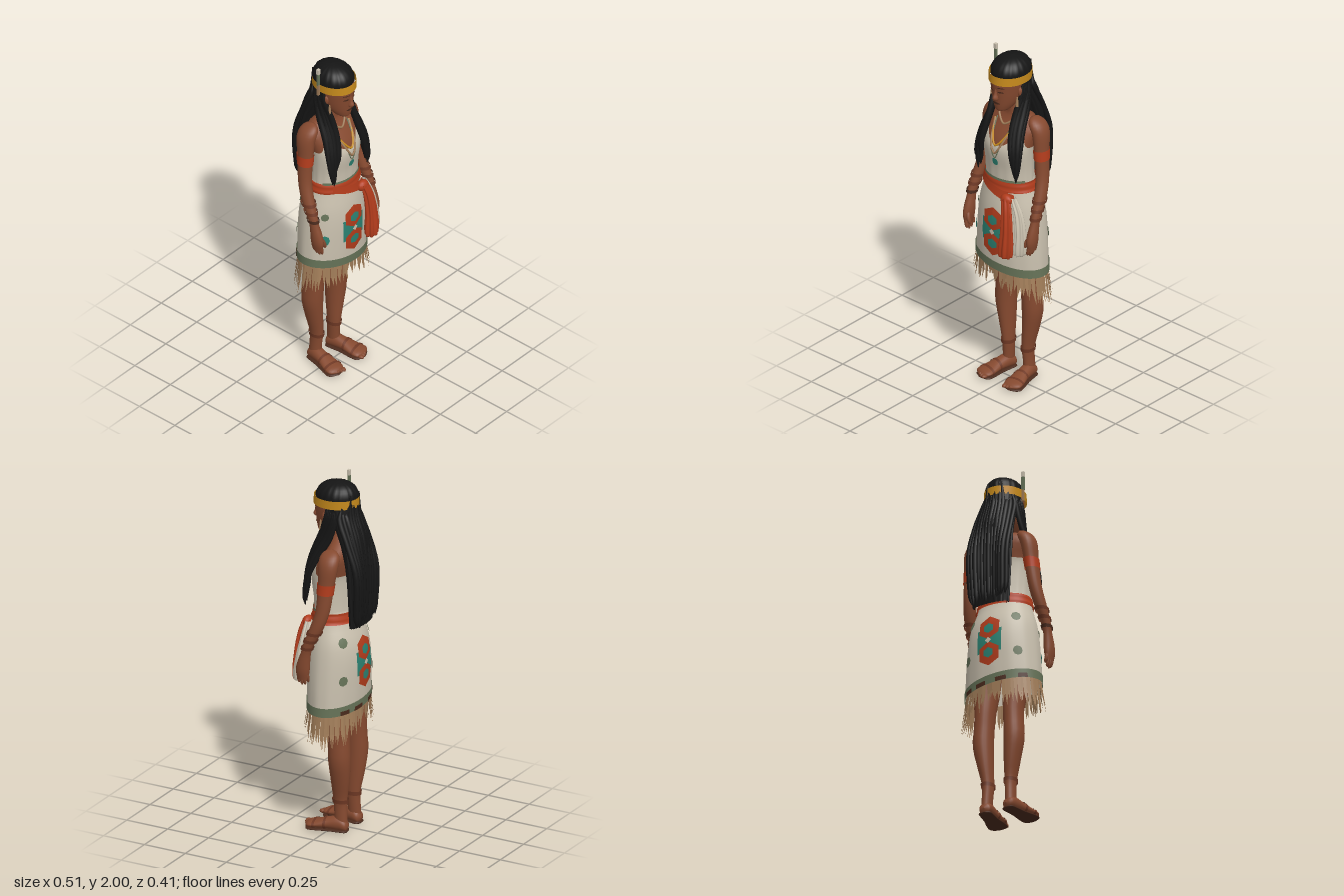
import * as THREE from 'three';

const mat = (name, color, side = THREE.FrontSide) => {
  const m = new THREE.MeshStandardMaterial({ color, side });
  m.name = name;
  return m;
};

// Cross-sections are [height, centreX, centreZ, radiusX, radiusZ], rising; sampled by a smooth curve.
function at(rows, y) {
  let k = 0;
  while (k < rows.length - 2 && y > rows[k + 1][0]) k++;
  const h = rows[k + 1][0] - rows[k][0];
  const t = THREE.MathUtils.clamp((y - rows[k][0]) / h, 0, 1);
  const slope = (i, c) => {
    const a = rows[Math.max(i - 1, 0)], b = rows[Math.min(i + 1, rows.length - 1)];
    return (b[c] - a[c]) / (b[0] - a[0]);
  };
  return [1, 2, 3, 4].map(c => {
    const t2 = t * t, t3 = t2 * t;
    const v = (2 * t3 - 3 * t2 + 1) * rows[k][c] + (t3 - 2 * t2 + t) * h * slope(k, c)
      + (3 * t2 - 2 * t3) * rows[k + 1][c] + (t3 - t2) * h * slope(k + 1, c);
    return c > 2 ? Math.max(v, 0) : v;
  });
}

// Point on a sectioned form; angle 0 is the front, growing towards +x.
function point(rows, a, y, off = 0, f = 1) {
  const [cx, cz, rx, rz] = at(rows, y);
  return [cx + (rx * f + off) * Math.sin(a), y, cz + (rz * f + off) * Math.cos(a)];
}

// Skin over the sections, or a sheet lying on part of them.
function wrap(rows, o = {}) {
  const { lo = () => rows[0][0], hi = () => rows[rows.length - 1][0], off = 0,
    a0 = -Math.PI, a1 = Math.PI, seg = 24, steps = 24, bump = () => 1 } = o;
  const closed = a1 - a0 > 6.28, n = closed ? seg : seg + 1, pos = [], idx = [];
  for (let i = 0; i <= steps; i++) {
    const v = (1 - Math.cos(Math.PI * i / steps)) / 2;
    for (let j = 0; j < n; j++) {
      const a = a0 + (a1 - a0) * j / seg;
      pos.push(...point(rows, a, lo(a) + (hi(a) - lo(a)) * v, off, bump(a, v)));
    }
  }
  for (let i = 0; i < steps; i++) for (let j = 0; j < seg; j++) {
    const p = i * n + j, q = i * n + (j + 1) % n;
    idx.push(p, q, q + n, p, q + n, p + n);
  }
  const g = new THREE.BufferGeometry();
  g.setAttribute('position', new THREE.Float32BufferAttribute(pos, 3));
  g.setIndex(idx);
  g.computeVertexNormals();
  return g;
}

// Lays a flat outline onto a sectioned form.
function decal(rows, flat, a, y, off) {
  const p = flat.attributes.position;
  for (let i = 0; i < p.count; i++) {
    const yy = y + p.getY(i), [, , rx, rz] = at(rows, yy);
    const r = Math.hypot(rx * Math.cos(a), rz * Math.sin(a));
    p.setXYZ(i, ...point(rows, a + p.getX(i) / r, yy, off));
  }
  flat.computeVertexNormals();
  return flat;
}

const flip = (rows, s) => rows.map(([y, x, ...r]) => [y, x * s, ...r]);
const disc = (w, h, n = 6) => new THREE.RingGeometry(0.001, 1, n, 4, Math.PI / 2).scale(w, h, 1);

const torsoRows = [[1.2, 0, 0, .14, .1], [1.32, 0, .005, .138, .1], [1.45, 0, .01, .148, .108], [1.52, 0, -.012, .158, .1],
  [1.58, 0, -.036, .168, .08], [1.61, 0, -.042, .15, .068], [1.635, 0, -.038, .085, .056], [1.67, 0, -.02, .047, .048], [1.76, 0, 0, .046, .05]];
const skirtRows = [[.7, 0, -.015, .222, .148], [.85, 0, -.015, .215, .154], [1, 0, -.015, .202, .156],
  [1.1, 0, -.012, .187, .145], [1.2, 0, -.003, .157, .118], [1.27, 0, 0, .143, .107]];
const headRows = [[1.672, 0, .068, 0, 0], [1.68, 0, .064, .03, .036], [1.7, 0, .045, .05, .064], [1.74, 0, .02, .072, .094],
  [1.8, 0, .01, .086, .109], [1.86, 0, .005, .092, .117], [1.91, 0, -.005, .09, .106], [1.95, 0, -.01, .065, .075], [1.965, 0, -.01, 0, 0]];
const capRows = [[1.68, 0, -.06, .09, .08], [1.8, 0, -.035, .1, .095], [1.88, 0, -.005, .102, .117], [1.92, 0, -.005, .098, .114],
  [1.955, 0, -.008, .074, .088], [1.973, 0, -.01, .04, .048], [1.98, 0, -.01, 0, 0]];
const manRows = [[1.19, 0, -.148, .108, .03], [1.5, 0, -.138, .118, .04], [1.65, 0, -.115, .114, .06],
  [1.78, 0, -.065, .1, .07], [1.85, 0, -.045, .08, .07]];
const armRows = [[.9, .226, .08, .016, .03], [.95, .226, .08, .025, .04], [1, .226, .073, .026, .036], [1.06, .227, .058, .022, .028],
  [1.1, .226, .046, .024, .03], [1.2, .216, .002, .032, .038], [1.3, .202, -.028, .034, .04], [1.45, .185, -.04, .037, .047],
  [1.55, .174, -.046, .042, .056], [1.6, .152, -.044, .042, .054], [1.628, .135, -.042, .02, .03], [1.634, .13, -.042, 0, 0]];
const legRows = [[.04, .075, -.068, .028, .038], [.1, .072, -.066, .028, .037], [.18, .07, -.062, .03, .04], [.3, .083, -.068, .043, .053],
  [.42, .095, -.07, .055, .062], [.52, .091, -.066, .053, .062], [.6, .088, -.062, .055, .065], [.75, .09, -.04, .07, .08], [.95, .09, -.03, .083, .095]];
// Foot sections run heel to toe and are turned forward.
const footRows = [[-.05, 0, -.035, 0, 0], [-.04, 0, -.036, .028, .027], [0, 0, -.046, .035, .04], [.06, 0, -.043, .038, .033],
  [.13, 0, -.033, .05, .021], [.175, 0, -.028, .045, .015], [.195, 0, -.024, 0, 0]];
const soleRows = footRows.map(([y, x, , rx, rz]) => [y, x, -.009, rx ? rx + .003 : 0, rz ? .009 : 0]);

export function createModel() {
  const D = THREE.DoubleSide;
  const skin = mat('skin', 0x85492f), hair = mat('black hair', 0x151515), cloth = mat('cream cloth', 0xc9c0ae, D),
    red = mat('red sash', 0xb23c1c, D), ochre = mat('ochre', 0xc68a1c, D), teal = mat('teal', 0x2c8272, D),
    green = mat('grey green', 0x667358, D), tan = mat('tan fringe', 0xa07c58, D), brown = mat('dark brown', 0x4a2a1c, D),
    russet = mat('russet leather', 0x6e3824, D);
  const root = new THREE.Group();
  const add = (name, geo, m, parent = root) => {
    const mesh = new THREE.Mesh(geo, m);
    mesh.name = name;
    parent.add(mesh);
  };
  let seed = 7;
  const rnd = () => (seed = (seed * 16807) % 2147483647) / 2147483647;

  // Body and bodice
  add('torso', wrap(torsoRows), skin);
  const top = a => Math.cos(a) > 0 ? 1.475 + .075 * Math.exp(-(((Math.abs(a) - .75) / .32) ** 2)) : 1.475;
  add('bodice', wrap(torsoRows, { lo: () => 1.22, hi: top, off: .007, seg: 64, bump: (a, v) => 1 + .014 * (1 - v) * Math.sin(a * 16) }), cloth);

  // Head and face
  add('head', wrap(headRows, { seg: 32, steps: 32 }), skin);
  add('nose', wrap([[1.75, 0, .116, 0, 0], [1.756, 0, .119, .014, .014], [1.768, 0, .12, .016, .02], [1.79, 0, .118, .009, .013],
    [1.83, 0, .112, .006, .006]], { seg: 12 }), skin);
  add('lips', decal(headRows, disc(.024, .007, 12), 0, 1.732, .004), brown);
  for (const s of [-1, 1]) {
    add('eye', decal(headRows, disc(.018, .005, 10), s * .36, 1.806, .003), brown);
    add('eyebrow', decal(headRows, disc(.022, .003, 10), s * .36, 1.833, .003), brown);
    add('ear', new THREE.SphereGeometry(1, 10, 8).scale(.012, .028, .018).translate(s * .09, 1.795, .022), skin);
    add('earring', new THREE.CylinderGeometry(.004, .01, .055, 8).translate(s * .09, 1.745, .048), tan);
  }
  add('headband', wrap([[1.84, 0, .002, .106, .126], [1.91, 0, 0, .107, .122]],
    { lo: () => 1.85, hi: () => 1.898, off: .002, steps: 3, seg: 48 }), ochre);

  // Hair: cap, back mass, then separate locks
  const ridge = (n, d) => a => 1 + d * Math.sin(a * n) * Math.min(1, Math.abs(a) * 2);
  add('hairCap', wrap(capRows, { seg: 72, lo: a => 1.888 - .2 * THREE.MathUtils.smoothstep(Math.abs(a), 1.35, 1.9), bump: ridge(18, .018) }), hair);
  add('backHair', wrap(manRows, { seg: 56, bump: ridge(20, .05) }), hair);
  for (let i = 0; i < 13; i++) {
    const u = i / 6 - 1, e = Math.abs(u), j = rnd() * .014, low = 1.19 + rnd() * .04, r = .01 + rnd() * .006;
    const back = -.163 - j - .02 * Math.exp(-(((e - .8) / .25) ** 2)), crown = e > .6 ? 1.852 : 1.925;
    add('backLock', wrap([[low, u * .1, back, .002, .003], [low + .05, u * .107, back, r, r], [1.5, u * .115, back - .002, r, r + .003],
      [1.68, u * .112, -.158 + .035 * u * u, r, r], [1.8, u * .1, -.122 + .05 * u * u, r, r],
      [crown, u * .086, e > .6 ? -.075 : -.11, .004, .004]], { seg: 8 }), hair);
  }
  for (const s of [-1, 1]) for (let i = 0; i < 8; i++) {
    const u = i / 3.5 - 1, w = rnd() * .014 - .007, low = 1.28 + rnd() * .09, r = .011 + rnd() * .006;
    add('frontLock', wrap(flip([[low, .13 + u * .012, .108 + w, .002, .002], [low + .05, .13 + u * .018, .11 + w, r * .8, r * .8],
      [1.47, .123 + u * .022, .104 + w - .014 * u, r, r], [1.57, .107 + u * .02, .073 + w - .02 * u, r, r + .008],
      [1.68, .095 + u * .012, .022 + w - .03 * u, r, r + .008], [1.79, .096, -.015 - .03 * u, r * .8, r], [1.852, .094, -.02 - .03 * u, .003, .003]], s), { seg: 8 }), hair);
  }
  add('featherQuill', new THREE.BoxGeometry(.014, .07, .012).translate(-.115, 1.865, -.01), tan);
  add('featherVane', new THREE.BoxGeometry(.016, .08, .012).translate(-.115, 1.935, -.01), green);
  add('featherTip', new THREE.BoxGeometry(.018, .03, .016).translate(-.115, 1.985, -.01), cloth);

  // Necklaces and pendant lie on the chest
  const strand = (name, w, yTop, yLow, r, m) => {
    const pts = [];
    for (let i = -6; i <= 6; i++) {
      const u = i / 6, y = yLow + (yTop - yLow) * Math.abs(u) ** 1.6, [, cz, rx, rz] = at(torsoRows, y);
      pts.push(new THREE.Vector3(u * w, y, cz + rz * Math.sqrt(Math.max(0, 1 - (u * w / rx) ** 2)) + .012));
    }
    add(name, new THREE.TubeGeometry(new THREE.CatmullRomCurve3(pts), 40, r, 6), m);
  };
  strand('choker', .055, 1.62, 1.58, .006, tan);
  strand('ochreNecklace', .072, 1.59, 1.475, .006, ochre);
  strand('beadNecklace', .068, 1.59, 1.43, .006, tan);
  strand('cordNecklace', .058, 1.6, 1.4, .003, green);
  add('pendant', decal(torsoRows, disc(.019, .022, 8), 0, 1.375, .012), teal);

  // Skirt with trim, fringe and woven motifs
  const hem = a => .73 - .025 * Math.sin(a);
  add('skirt', wrap(skirtRows, { lo: hem, seg: 64, bump: (a, v) => 1 + .006 * Math.sin(a * 14) * (1 - v) }), cloth);
  const trim = { lo: a => hem(a) - .006, hi: a => hem(a) + .044, seg: 64, steps: 4 };
  add('hemTrim', wrap(skirtRows, { ...trim, off: .005 }), green);
  for (const a of [2.3, 2.75, 3.3, 3.9]) add('trimStain', wrap(skirtRows, { ...trim, hi: a => hem(a) + .018, off: .007, a0: a, a1: a + .28, seg: 6 }), brown);
  add('waistTrim', wrap(skirtRows, { lo: () => 1.262, hi: () => 1.276, off: .009, a0: -1.2, a1: 1.2, steps: 2 }), green);
  const fringe = [];
  for (let i = 0; i < 76; i++) {
    const a = (i + rnd() * .6) * Math.PI / 38, d = .055, y = hem(a) + .01, out = .012 * Math.abs(Math.sin(a));
    const tip = y - .05 - .08 * Math.abs(Math.sin(a)) - (Math.cos(a) < 0 ? .03 : 0) - rnd() * .06, mid = y * .4 + tip * .6, o = rnd() * .012 - .008 + out;
    const L = point(skirtRows, a - d, y, -.003), R = point(skirtRows, a + d, y, -.003);
    const l = point(skirtRows, a - d * .75, mid, o), r = point(skirtRows, a + d * .7, mid, o), T = point(skirtRows, a + rnd() * .08 - .04, tip, o + out);
    fringe.push(...l, ...r, ...R, ...l, ...R, ...L, ...l, ...T, ...r);
  }
  const fg = new THREE.BufferGeometry();
  fg.setAttribute('position', new THREE.Float32BufferAttribute(fringe, 3));
  fg.computeVertexNormals();
  add('fringe', fg, tan);
  for (const [a, y, w] of [[0, .953, .08], [Math.PI, .975, .074]]) {
    add('motifField', decal(skirtRows, new THREE.PlaneGeometry(w * 1.95, .135, 8, 4), a, y, .005), teal);
    for (const s of [-1, 1]) {
      add('motifDiamond', decal(skirtRows, disc(w * .9, .07), a, y + s * .077, .007), red);
      add('motifHeart', decal(skirtRows, disc(w * .42, .03), a, y + s * .072, .009), teal);
    }
    add('motifCentre', decal(skirtRows, disc(.018, .018, 4), a, y, .0095), cloth);
  }
  for (const s of [-1, 1]) for (const y of [1.11, .9]) add('skirtDot', decal(skirtRows, disc(.026, .028, 8), s * 2.35, y, .005), green);
  add('skirtDot', decal(skirtRows, disc(.03, .034, 8), -.93, .92, .005), teal);
  add('skirtDot', decal(skirtRows, disc(.022, .022, 8), -.95, 1.07, .005), green);

  // Sash, knot and hanging ends
  add('sash', wrap(skirtRows, { lo: () => 1.205, hi: () => 1.265, off: .008, seg: 48, steps: 8, bump: (a, v) => 1 + .02 * Math.sin(v * 12 + a) }), red);
  add('sashFold', wrap(skirtRows, { lo: a => 1.18 - .05 * a, hi: a => 1.228 - .04 * a, off: .016, a0: -.75, a1: .7, steps: 6 }), red);
  add('sashKnot', new THREE.SphereGeometry(1, 14, 10).scale(.038, .032, .026).translate(.085, 1.175, .128), red);
  const pleat = a => 1 + .16 * Math.sin(a * 7);
  add('sashTail', wrap([[.848, .112, .168, 0, 0], [.852, .112, .168, .036, .027], [1, .115, .163, .035, .024], [1.12, .104, .15, .028, .02],
    [1.19, .085, .135, .026, .016]], { seg: 42, bump: pleat }), red);
  add('clothTail', wrap([[.868, .178, .122, 0, 0], [.872, .178, .122, .026, .034], [1, .172, .115, .026, .032], [1.1, .15, .108, .025, .024],
    [1.19, .11, .108, .02, .016]], { seg: 42, bump: pleat }), cloth);

  // Arms and legs
  for (const s of [-1, 1]) {
    const side = s > 0 ? 'left' : 'right', arm = flip(armRows, s), leg = flip(legRows, s);
    add(side + 'Arm', wrap(arm, { steps: 40 }), skin);
    for (let i = 0; i < 4; i++) {
      const z = .052 + i * .018, low = [.882, .865, .862, .872][i];
      add(side + 'Finger', wrap(flip([[low, .216, z, 0, 0], [low + .008, .217, z, .008, .008], [.92, .225, z, .011, .01], [.95, .226, z, .008, .008]], s), { seg: 8, steps: 8 }), skin);
    }
    add(side + 'Thumb', wrap(flip([[.905, .195, .108, 0, 0], [.915, .197, .108, .009, .009], [.95, .206, .106, .011, .012], [.99, .22, .09, .008, .01]], s), { seg: 8, steps: 8 }), skin);
    add(side + 'Armband', wrap(arm, { lo: () => 1.4, hi: () => 1.458, off: .004, steps: 4 }), red);
    for (const y of [1.085, 1.13, 1.175]) add(side + 'Bracelet', wrap(arm, { lo: () => y - .009, hi: () => y + .009, off: .007, steps: 3 }),
      s < 0 && y < 1.1 ? brown : russet);
    add(side + 'Leg', wrap(leg, { steps: 32 }), skin);
    add(side + 'Anklet', wrap(leg, { lo: () => .166, hi: () => .188, off: .006, steps: 3 }), russet);

    const foot = new THREE.Group();
    foot.name = side + 'Foot';
    foot.position.set(s * .076, 0, -.062);
    foot.rotation.y = s * .16;
    root.add(foot);
    const turn = g => g.rotateX(Math.PI / 2);
    add('footBody', turn(wrap(footRows)), skin, foot);
    add('sole', turn(wrap(soleRows)), brown, foot);
    for (const l of [.07, .13]) add('sandalStrap', turn(wrap(footRows, { lo: () => l, hi: () => l + .014, off: .004, steps: 3 })), russet, foot);
    for (let i = 0; i < 5; i++) add('toe', new THREE.SphereGeometry(1, 8, 6).scale(i ? .01 : .014, .011, .02)
      .translate(s * (-.034 + i * .018), .026, .186 - i * i * .0022), skin, foot);
  }
  return root;
}
